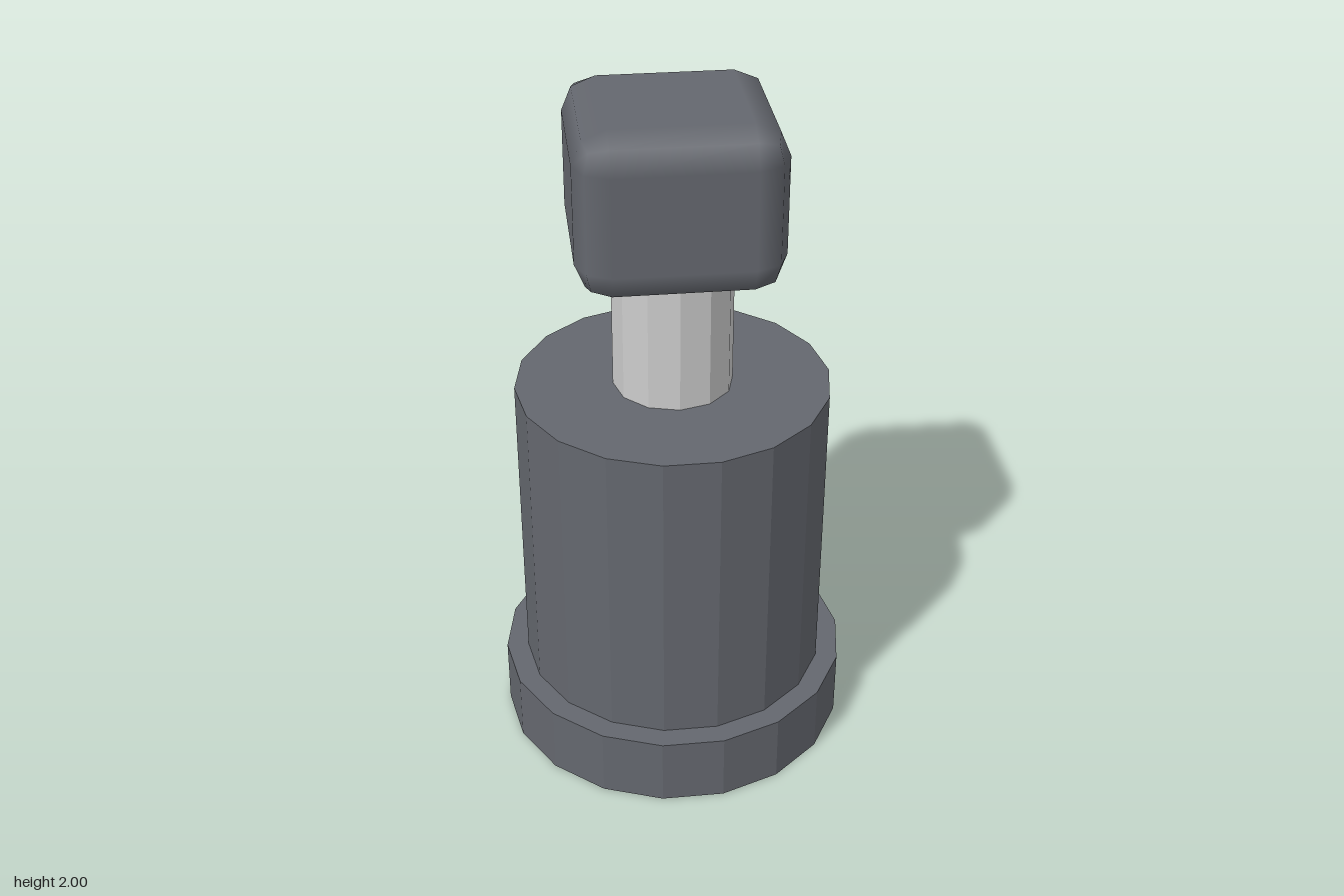
import * as THREE from 'three';
import { RoundedBoxGeometry } from 'three/addons/geometries/RoundedBoxGeometry.js';

export function createModel() {
  const group = new THREE.Group();
  const dark = new THREE.MeshStandardMaterial({ color: 0x64676e });
  dark.flatShading = true;
  const knobMaterial = new THREE.MeshStandardMaterial({ color: 0x64676e });
  const grey = new THREE.MeshStandardMaterial({ color: 0xcccccc, flatShading: true });

  // Faceted upright cylinder from y0 to y1
  function addCylinder(name, radius, y0, y1, sides, material) {
    const geometry = new THREE.CylinderGeometry(radius, radius, y1 - y0, sides, 1, false, Math.PI / 2);
    const mesh = new THREE.Mesh(geometry, material);
    mesh.name = name;
    mesh.position.y = (y0 + y1) / 2;
    group.add(mesh);
  }

  addCylinder('baseFlange', 0.523, 0, 0.21, 18, dark);
  addCylinder('body', 0.457, 0.21, 1.145, 18, dark);
  addCylinder('stem', 0.174, 1.145, 1.56, 12, grey);

  // Soft-edged square knob
  const knob = new THREE.Mesh(new RoundedBoxGeometry(0.57, 0.47, 0.57, 1, 0.095), knobMaterial);
  knob.name = 'knob';
  knob.position.y = 1.765;
  group.add(knob);

  return group;
}
